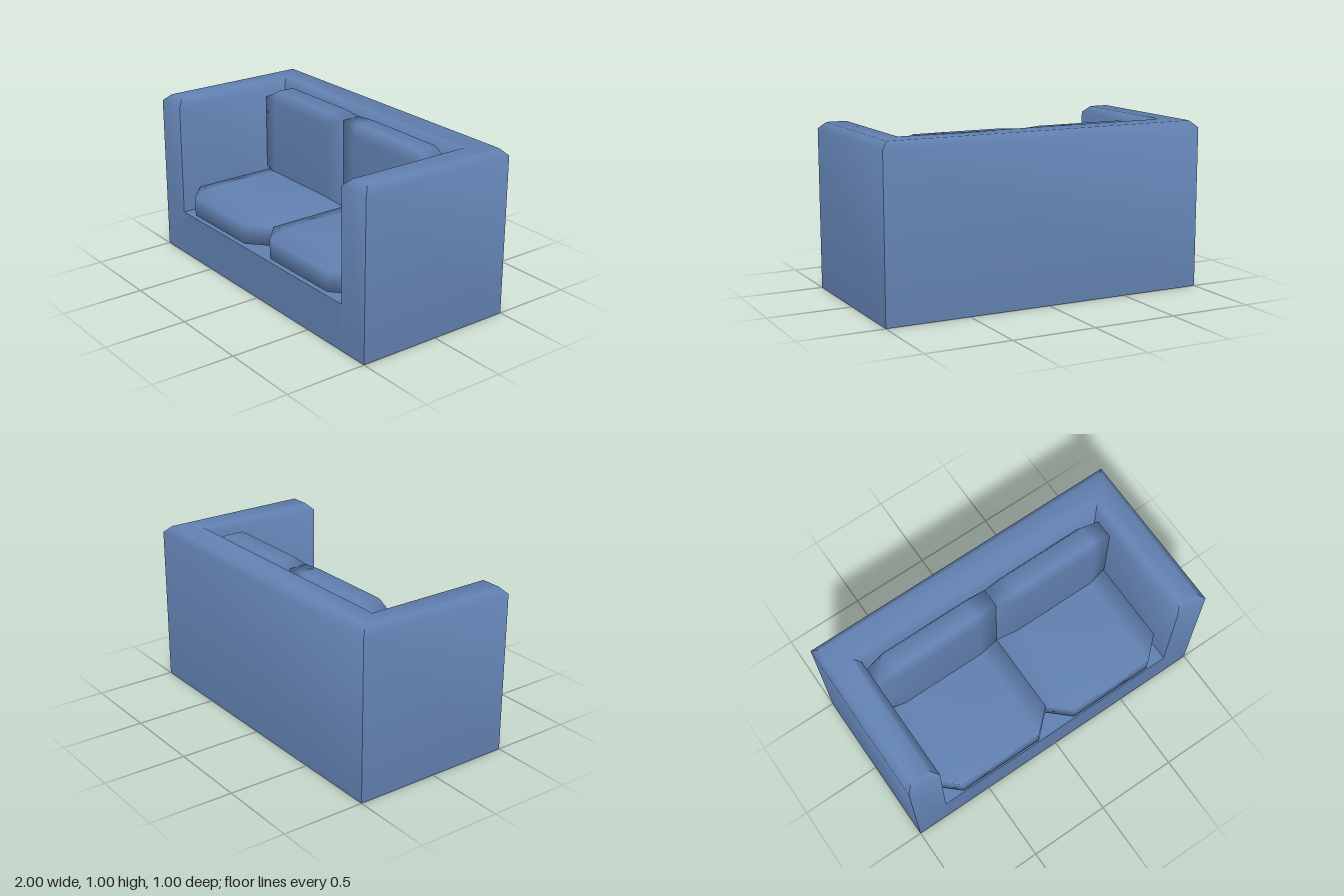
import * as THREE from 'three';
import { mergeVertices, toCreasedNormals } from 'three/addons/utils/BufferGeometryUtils.js';
import { ConvexGeometry } from 'three/addons/geometries/ConvexGeometry.js';

// U-shaped arms and back, lofted through rings, with a bevelled top edge
function frameGeometry() {
  const d = 0.04;
  const outline = [[-1, -0.5], [1, -0.5], [1, 0.5], [0.8, 0.5], [0.8, -0.28], [-0.8, -0.28], [-0.8, 0.5], [-1, 0.5]];
  const inset = outline.map(([x, z]) => [
    x + Math.sign(x) * (Math.abs(x) > 0.9 ? -d : d),
    z + (z === -0.5 ? d : -d),
  ]);
  const rings = [[outline, 0], [outline, 1 - d], [inset, 1]];
  const points = rings.flatMap(([ring, y]) => ring.flatMap(([x, z]) => [x, y, z]));
  const index = [];
  const quad = (a, b, c, e) => index.push(a, b, c, a, c, e);

  for (let r = 0; r < 2; r++) {
    for (let i = 0; i < 8; i++) {
      const j = (i + 1) % 8;
      quad(r * 8 + i, r * 8 + 8 + i, r * 8 + 8 + j, r * 8 + j);
    }
  }
  // mitred caps, top and underside
  for (const [a, b, c, e] of [[0, 5, 4, 1], [1, 4, 3, 2], [7, 6, 5, 0]]) {
    quad(16 + a, 16 + b, 16 + c, 16 + e);
    quad(e, c, b, a);
  }
  const geometry = new THREE.BufferGeometry();
  geometry.setAttribute('position', new THREE.Float32BufferAttribute(points, 3));
  geometry.setIndex(index);
  return toCreasedNormals(geometry, Math.PI / 3);
}

// Soft block with cut corners; innerCut is the height cut on the side nearest x = 0
function cushionGeometry(side, min, max, cut, innerCut = cut[1]) {
  const points = [];
  for (const outer of [0, 1]) for (const top of [0, 1]) for (const front of [0, 1]) {
    const pick = (hi, axis, inset) => (hi ? max[axis] - inset : min[axis] + inset);
    const add = (ix, iy, iz) => points.push(
      new THREE.Vector3(side * pick(outer, 0, ix), pick(top, 1, iy), pick(front, 2, iz)));
    add(cut[0], 0, cut[2]);
    add(0, outer ? cut[1] : innerCut, cut[2]);
    add(cut[0], cut[1], 0);
  }
  const geometry = new ConvexGeometry(points);
  geometry.deleteAttribute('normal');
  const smooth = mergeVertices(geometry, 1e-4);
  smooth.computeVertexNormals();
  return smooth;
}

export function createModel() {
  const sofa = new THREE.Group();
  sofa.name = 'sofa';
  const fabric = new THREE.MeshStandardMaterial({ color: 0x6180b0 });
  fabric.name = 'blue fabric';
  const add = (name, geometry) => {
    const mesh = new THREE.Mesh(geometry, fabric);
    mesh.name = name;
    sofa.add(mesh);
    return mesh;
  };

  add('armsAndBack', frameGeometry());
  add('seatBase', new THREE.BoxGeometry(1.6, 0.28, 0.78)).position.set(0, 0.14, 0.11);

  // one seat and one back cushion on each side
  for (const [name, side] of [['left', 1], ['right', -1]]) {
    add(name + 'SeatCushion',
      cushionGeometry(side, [0, 0.27, -0.28], [0.8, 0.45, 0.495], [0.13, 0.03, 0.12]));
    add(name + 'BackCushion',
      cushionGeometry(side, [0, 0.38, -0.28], [0.8, 0.98, -0.105], [0.13, 0.07, 0.03], 0.01));
  }
  return sofa;
}
